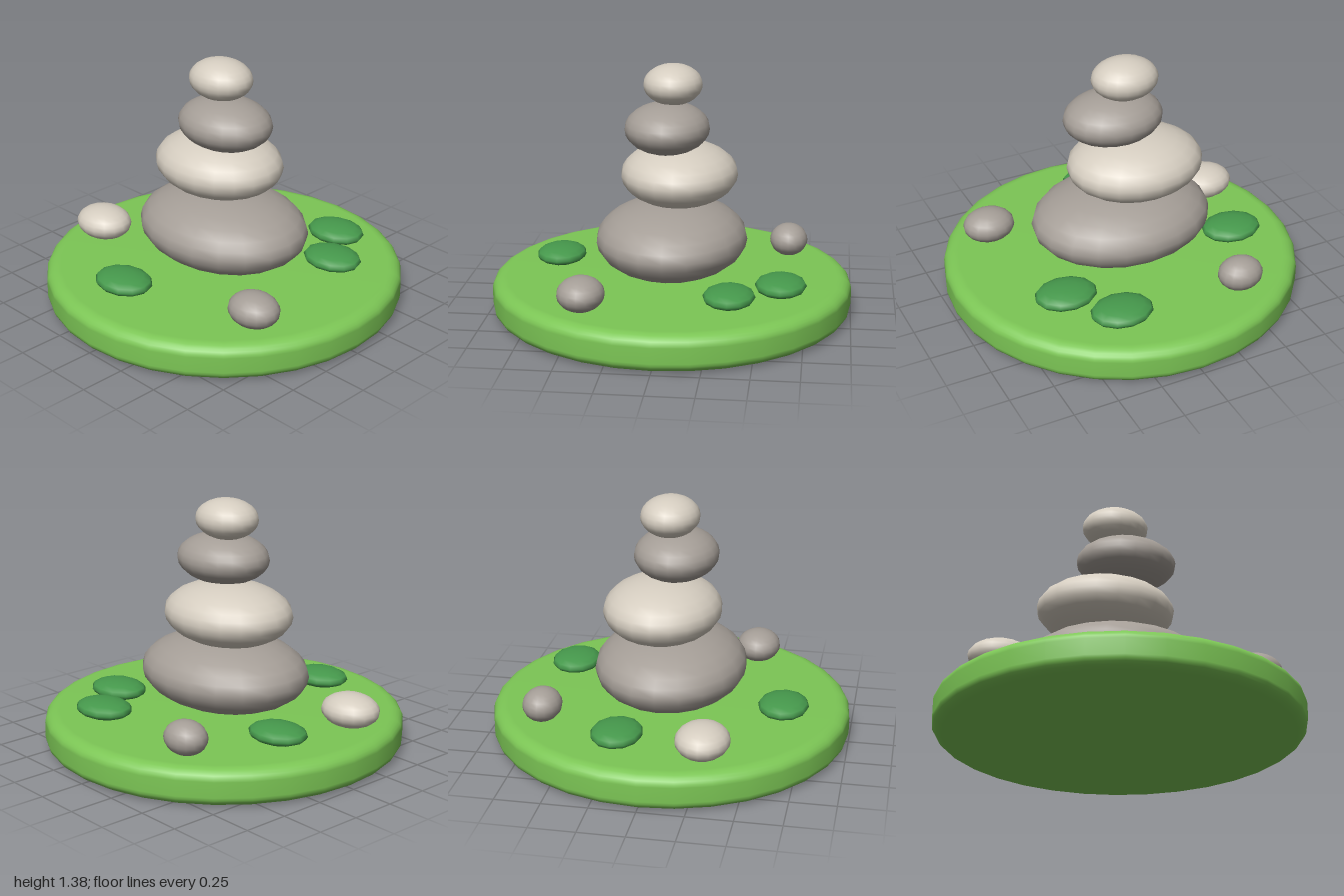
import * as THREE from 'three';

const material = (name, color) => {
  const m = new THREE.MeshStandardMaterial({ color });
  m.name = name;
  return m;
};

export function createModel() {
  const group = new THREE.Group();
  const grass = material('grassGreen', 0x7cc655);
  const leaf = material('leafGreen', 0x46994c);
  const pale = material('paleStone', 0xd5cdc0);
  const grey = material('greyStone', 0xa59e97);

  // Round grassy base with softened rims
  const H = 0.205, bevelX = 0.08, bevelY = 0.06, steps = 6;
  const profile = [new THREE.Vector2(0, 0)];
  for (let i = 0; i <= steps; i++) {
    const a = (i / steps) * Math.PI / 2;
    profile.push(new THREE.Vector2(1 - bevelX + bevelX * Math.sin(a), bevelY * (1 - Math.cos(a))));
  }
  for (let i = 0; i <= steps; i++) {
    const a = (i / steps) * Math.PI / 2;
    profile.push(new THREE.Vector2(1 - bevelX + bevelX * Math.cos(a), H - bevelY * (1 - Math.sin(a))));
  }
  profile.push(new THREE.Vector2(0, H));
  const base = new THREE.Mesh(new THREE.LatheGeometry(profile, 32), grass);
  base.name = 'grassBase';
  group.add(base);

  // Squashed spheres: centre, radii
  const addPebble = (name, mat, [x, y, z], [rx, ry, rz], w, h) => {
    const geometry = new THREE.SphereGeometry(1, w, h).scale(rx, ry, rz);
    const mesh = new THREE.Mesh(geometry, mat);
    mesh.name = name;
    mesh.position.set(x, y, z);
    group.add(mesh);
  };

  // Balanced stack, bottom to top
  [
    [grey, [-0.005, 0.41, 0], [0.515, 0.21, 0.42]],
    [pale, [-0.073, 0.76, -0.035], [0.385, 0.175, 0.325]],
    [grey, [0.032, 1.04, 0.022], [0.28, 0.14, 0.233]],
    [pale, [-0.026, 1.27, -0.003], [0.186, 0.112, 0.162]],
  ].forEach(([m, p, r], i) => addPebble(`stackStone${i + 1}`, m, p, r, 20, 14));

  // Loose stones around the stack
  [
    [pale, [-0.695, 0.285, 0.29], [0.17, 0.092, 0.146]],
    [grey, [0.633, 0.285, 0.41], [0.148, 0.092, 0.127]],
    [grey, [-0.415, 0.285, -0.638], [0.127, 0.092, 0.108]],
  ].forEach(([m, p, r], i) => addPebble(`looseStone${i + 1}`, m, p, r, 16, 12));

  // Low moss tufts
  [[0.293, -0.62], [0.498, -0.356], [-0.62, -0.18], [-0.12, 0.645]]
    .forEach(([x, z], i) => addPebble(`mossTuft${i + 1}`, leaf, [x, 0.252, z], [0.175, 0.05, 0.14], 12, 8));

  return group;
}
